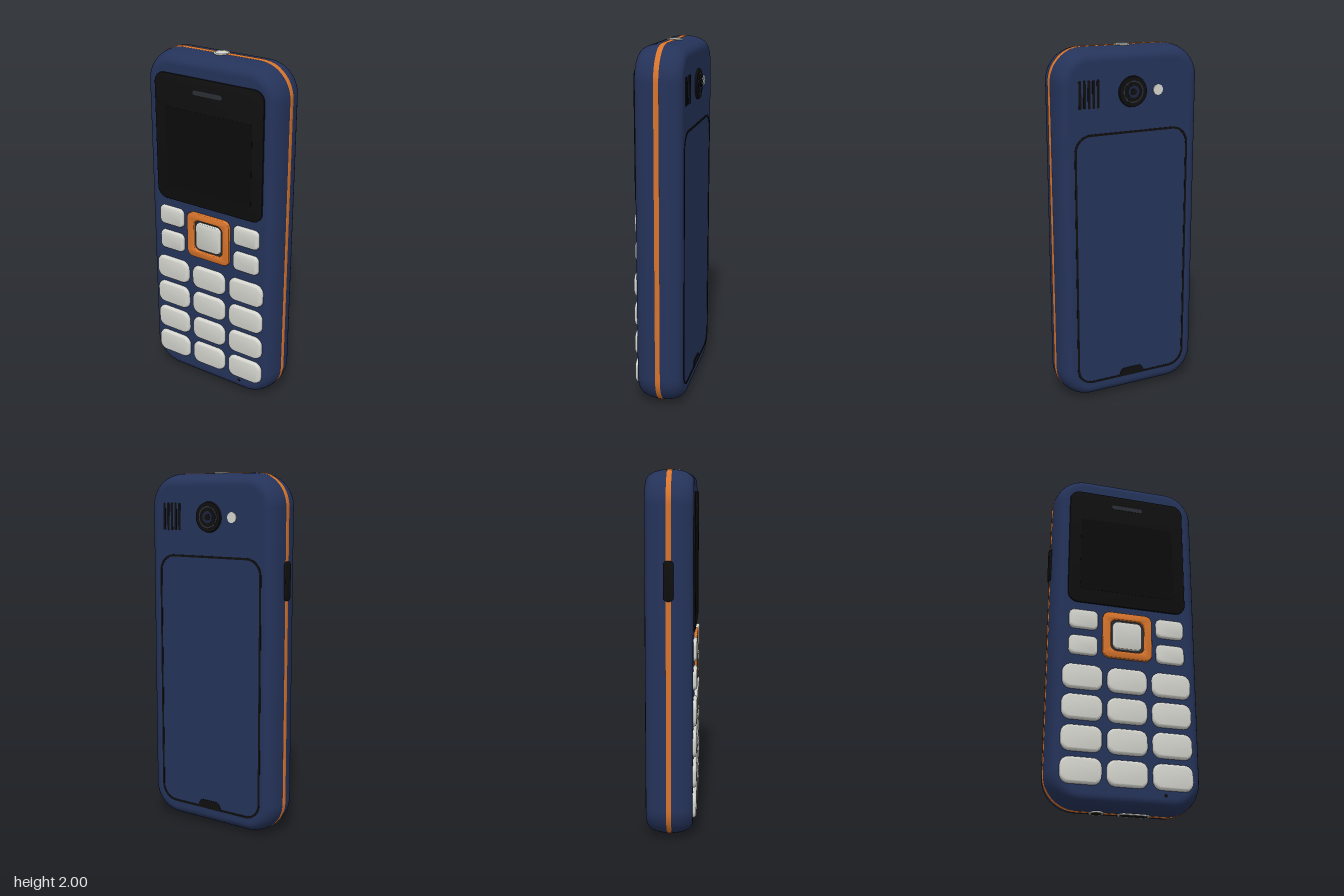
import * as THREE from 'three';
import { toCreasedNormals } from 'three/addons/utils/BufferGeometryUtils.js';

const mat = (name, color) => {
  const m = new THREE.MeshStandardMaterial({ color });
  m.name = name;
  return m;
};

// Rounded rectangle centred on the origin
function roundRect(Type, w, h, r) {
  const p = new Type(), a = w / 2 - r, b = h / 2 - r;
  p.moveTo(w / 2, -b);
  p.absarc(a, b, r, 0, Math.PI / 2);
  p.absarc(-a, b, r, Math.PI / 2, Math.PI);
  p.absarc(-a, -b, r, Math.PI, Math.PI * 1.5);
  p.absarc(a, -b, r, Math.PI * 1.5, Math.PI * 2);
  return p;
}

// Outline points, always the same count, for lofting
function outline(w, h, r) {
  const pts = [], n = 14;
  [[1, 1], [-1, 1], [-1, -1], [1, -1]].forEach(([sx, sy], q) => {
    for (let i = 0; i <= n; i++) {
      const a = (q + i / n) * Math.PI / 2;
      pts.push([sx * (w / 2 - r) + r * Math.cos(a), sy * (h / 2 - r) + r * Math.sin(a)]);
    }
  });
  return pts;
}

// Skin a rounded rectangle along z; each section is [inset, z]
function loft(sections, w, h, r) {
  const pos = [], idx = [];
  let n = 0;
  for (const [d, z] of sections) {
    const ring = outline(w - 2 * d, h - 2 * d, r - d);
    n = ring.length;
    for (const [x, y] of ring) pos.push(x, y, z);
  }
  for (let s = 0; s < sections.length - 1; s++) {
    for (let i = 0; i < n; i++) {
      const j = (i + 1) % n, a = s * n + i, b = s * n + j;
      idx.push(a, b, b + n, a, b + n, a + n);
    }
  }
  const g = new THREE.BufferGeometry();
  g.setAttribute('position', new THREE.Float32BufferAttribute(pos, 3));
  g.setIndex(idx);
  g.computeVertexNormals();
  return g;
}

// Extruded plate from z = 0 to z = depth, with an optional rounded edge
function plate(shape, depth, bevel = 0) {
  const g = new THREE.ExtrudeGeometry(shape, {
    depth: depth - bevel, curveSegments: 10, bevelEnabled: bevel > 0,
    bevelSize: bevel, bevelOffset: -bevel, bevelThickness: bevel, bevelSegments: 4,
  });
  return toCreasedNormals(g, 0.6);
}

export function createModel() {
  const navy = mat('navy shell', 0x25335a);
  const orange = mat('orange trim', 0xd9752c);
  const cream = mat('pale keys', 0xd6d6d0);
  const black = mat('black', 0x0f0f10);
  const display = mat('display', 0x0b0b0c);
  const slate = mat('slate', 0x2a2f36);
  const lensBlue = mat('lens blue', 0x1b2340);

  const phone = new THREE.Group();
  phone.name = 'phone';
  const add = (name, geo, material, x = 0, y = 0, z = 0, parent = phone) => {
    const m = new THREE.Mesh(geo, material);
    m.name = name;
    m.position.set(x, y, z);
    parent.add(m);
    return m;
  };

  const W = 0.845, H = 1.99, R = 0.18, D = 0.1275, midZ = -0.0075, cx = 0.003;
  const front = 0.12, back = -0.135;

  // Shell with soft rounded sides
  const sections = [], inset = 0.068, e = 2 / 2.2;
  for (let i = -14; i <= 14; i++) {
    const a = i / 14 * Math.PI / 2;
    const c = Math.max(Math.cos(a), 0) ** e;
    sections.push([inset * (1 - c), Math.sign(i) * D * Math.abs(Math.sin(a)) ** e]);
  }
  add('shell', loft(sections, W, H, R), navy, cx, 1, midZ);
  const face = new THREE.ShapeGeometry(roundRect(THREE.Shape, W - 2 * inset, H - 2 * inset, R - inset), 14);
  add('shellFront', face, navy, cx, 1, front);
  add('shellBack', face, navy, cx, 1, back).rotation.y = Math.PI;

  // Orange band around the middle
  add('trimBand', loft([[0.004, -0.014], [-0.002, -0.013], [-0.002, 0.013], [0.004, 0.014]], W, H, R),
    orange, cx, 1, midZ);

  // Screen and earpiece
  add('screenGlass', plate(roundRect(THREE.Shape, 0.685, 0.73, 0.06), 0.012, 0.003), black, 0.003, 1.515, 0.118);
  add('display', plate(roundRect(THREE.Shape, 0.55, 0.46, 0.01), 0.002), display, 0.003, 1.465, 0.129);
  add('earpiece', plate(roundRect(THREE.Shape, 0.185, 0.026, 0.012), 0.003), slate, 0.003, 1.803, 0.129);

  // Number keys
  const keyGeo = plate(roundRect(THREE.Shape, 0.222, 0.142, 0.048), 0.026, 0.016);
  for (let row = 0; row < 4; row++) {
    for (let col = -1; col <= 1; col++) {
      add('numberKey', keyGeo, cream, 0.002 + col * 0.249, 0.702 - row * 0.172, 0.114);
    }
  }

  // Soft keys on both sides of the navigation pad
  const sideKeyGeo = plate(roundRect(THREE.Shape, 0.162, 0.114, 0.03), 0.026, 0.014);
  for (const x of [-0.247, 0.25]) {
    for (const y of [1.044, 0.888]) add('softKey', sideKeyGeo, cream, x, y, 0.114);
  }

  // Navigation pad
  const nav = new THREE.Group();
  nav.name = 'navigationPad';
  nav.position.set(0.002, 0.97, 0);
  phone.add(nav);
  const ring = roundRect(THREE.Shape, 0.282, 0.276, 0.04);
  ring.holes.push(roundRect(THREE.Path, 0.19, 0.19, 0.035));
  add('navigationRing', plate(ring, 0.02, 0.006), orange, 0, 0, 0.117, nav);
  add('navigationGap', plate(roundRect(THREE.Shape, 0.2, 0.2, 0.035), 0.005), slate, 0, 0, 0.118, nav);
  add('selectKey', plate(roundRect(THREE.Shape, 0.165, 0.165, 0.03), 0.022, 0.008), cream, 0, 0, 0.116, nav);

  // Microphone hole
  add('microphone', new THREE.CircleGeometry(0.01, 16), black, 0.21, 0.088, 0.1212);

  // Back details, in a group that faces backwards (its +x is the model's right)
  const rear = new THREE.Group();
  rear.name = 'backDetails';
  rear.position.z = back;
  rear.rotation.y = Math.PI;
  phone.add(rear);

  // Battery cover framed by a thin dark seam
  const seam = roundRect(THREE.Shape, 0.68, 1.45, 0.095);
  seam.holes.push(roundRect(THREE.Path, 0.656, 1.426, 0.083));
  add('coverSeam', plate(seam, 0.003), black, 0, 0.825, -0.001, rear);
  const notch = new THREE.Shape();
  notch.moveTo(-0.078, 0);
  notch.lineTo(0.078, 0);
  notch.quadraticCurveTo(0.072, 0.044, 0.045, 0.045);
  notch.lineTo(-0.045, 0.045);
  notch.quadraticCurveTo(-0.072, 0.044, -0.078, 0);
  add('coverNotch', plate(notch, 0.004), black, 0, 0.105, -0.001, rear);

  // Speaker slots
  const slot = plate(roundRect(THREE.Shape, 0.015, 0.15, 0.007), 0.003);
  for (let i = 0; i < 5; i++) add('speakerSlot', slot, black, -0.305 + i * 0.026, 1.76, -0.001, rear);

  // Camera as stacked discs, and its flash
  const disc = (name, r, z, material, x = 0) =>
    add(name, new THREE.CylinderGeometry(r * 0.96, r, 0.012, 40), material, x, 1.76, z - 0.006, rear)
      .rotateX(Math.PI / 2);
  disc('cameraHousing', 0.084, 0.01, black);
  disc('cameraRing', 0.062, 0.0115, slate);
  disc('cameraWell', 0.054, 0.013, black);
  disc('lens', 0.034, 0.0145, lensBlue);
  disc('lensCentre', 0.018, 0.016, black);
  disc('flash', 0.03, 0.004, cream, 0.152);

  // Side button on the model's right
  add('sideButton', plate(roundRect(THREE.Shape, 0.055, 0.21, 0.022), 0.025, 0.006), black, -0.405, 1.427, midZ)
    .rotation.y = -Math.PI / 2;

  // Torch on the top edge
  const lampRing = add('torchRing', new THREE.TorusGeometry(0.038, 0.005, 10, 36), cream, 0.002, 1.995, midZ);
  lampRing.rotation.x = Math.PI / 2;
  add('torchLens', new THREE.CylinderGeometry(0.034, 0.036, 0.012, 32), cream, 0.002, 1.992, midZ);

  // Charging port and headphone socket on the bottom edge
  const port = (name, w, h, x) => {
    const rim = roundRect(THREE.Shape, w, h, h / 2 - 0.001);
    rim.holes.push(roundRect(THREE.Path, w - 0.018, h - 0.018, h / 2 - 0.0105));
    add(name + 'Rim', plate(rim, 0.012), cream, x, 0.012, midZ).rotation.x = Math.PI / 2;
    add(name, plate(roundRect(THREE.Shape, w - 0.01, h - 0.01, h / 2 - 0.006), 0.009), black, x, 0.01, midZ)
      .rotation.x = Math.PI / 2;
  };
  port('chargingPort', 0.175, 0.066, 0.072);
  port('headphoneSocket', 0.078, 0.078, -0.13);

  return phone;
}
